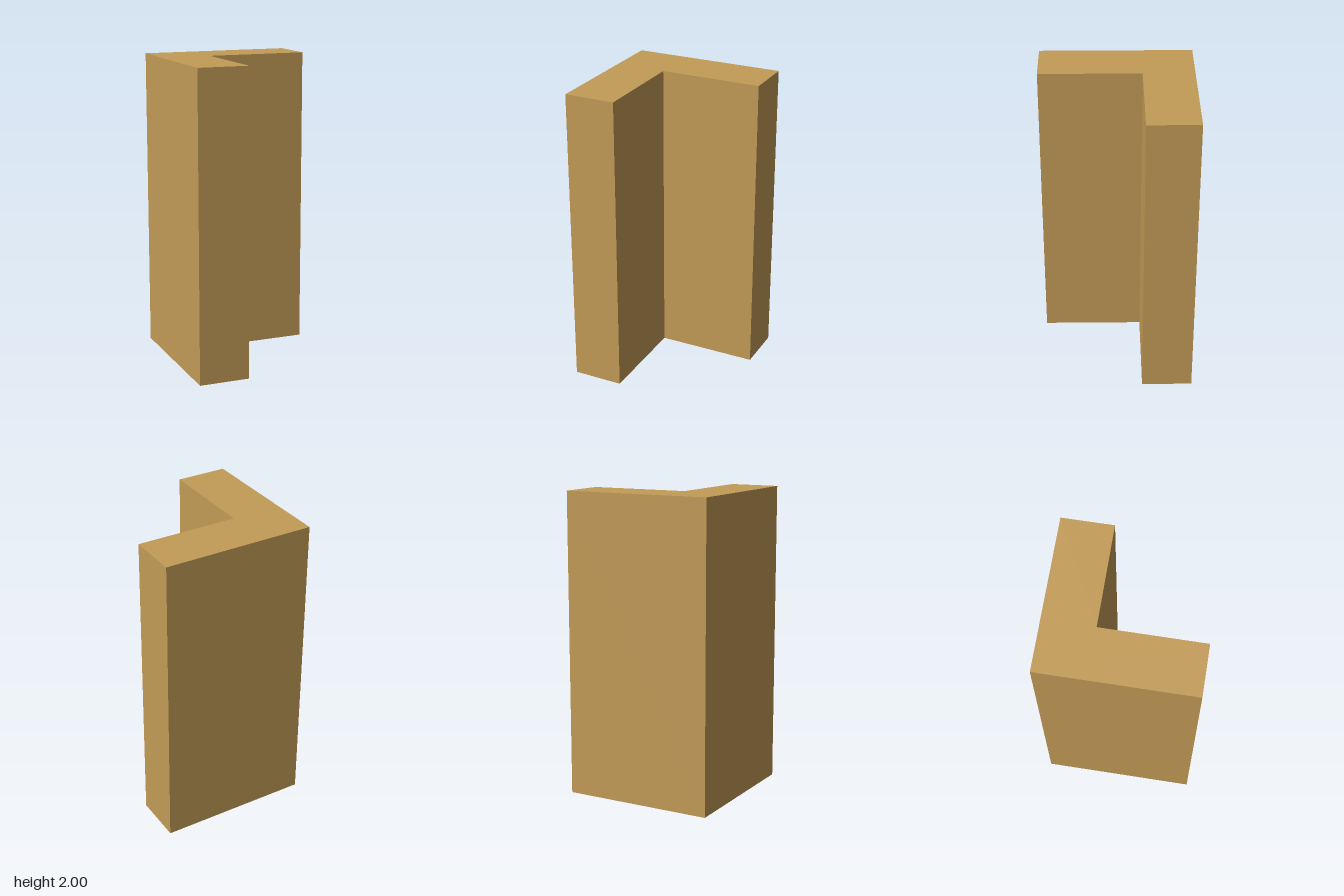
import * as THREE from 'three';

const HEIGHT = 2;
const HALF = 0.5; // half the length of each wing
const INNER = 1 / 6; // distance of the inner corner from the centre

export function createModel() {
  const model = new THREE.Group();
  model.name = 'cornerPost';

  // L-shaped footprint, drawn with shape y pointing to the back (-z)
  const footprint = new THREE.Shape([
    [-HALF, -HALF], [-INNER, -HALF], [-INNER, INNER],
    [HALF, INNER], [HALF, HALF], [-HALF, HALF],
  ].map(([x, y]) => new THREE.Vector2(x, y)));

  // Raise the footprint into an upright post
  const geometry = new THREE.ExtrudeGeometry(footprint, { depth: HEIGHT, bevelEnabled: false });
  geometry.rotateX(-Math.PI / 2);

  const post = new THREE.Mesh(geometry, new THREE.MeshStandardMaterial({ color: 0xc39c57 }));
  post.name = 'lShapedPost';
  model.add(post);
  return model;
}
